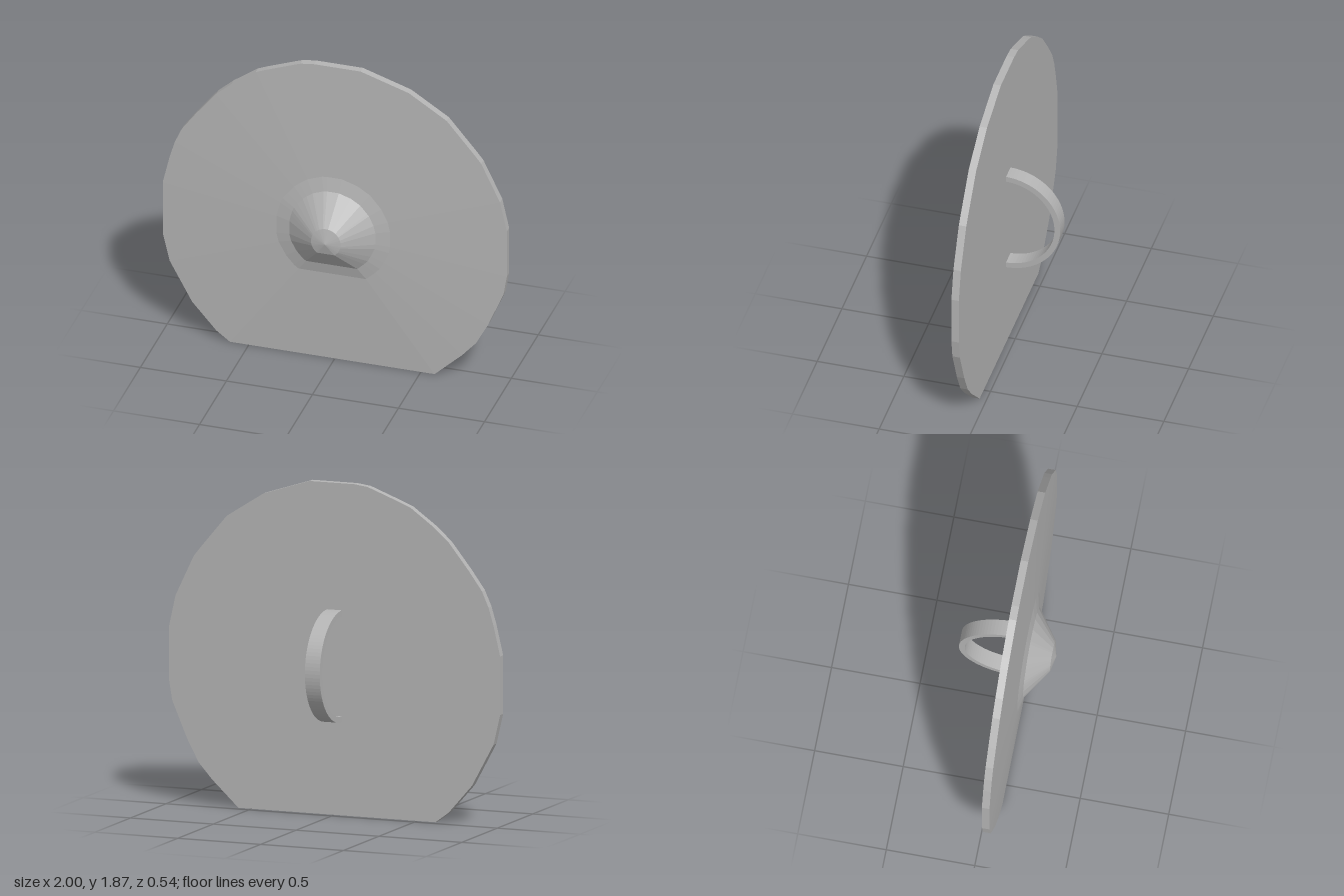
import * as THREE from 'three';

// Rim outline, counter-clockwise seen from the front, flat along the bottom
const outline = [
  [-0.61, 0], [0.58, 0], [0.74, 0.15], [0.82, 0.24], [0.89, 0.37], [0.98, 0.58], [1, 0.70], [1, 0.99],
  [0.96, 1.17], [0.85, 1.40], [0.81, 1.45], [0.65, 1.64], [0.43, 1.78], [0.15, 1.87], [-0.12, 1.87],
  [-0.20, 1.86], [-0.40, 1.785], [-0.46, 1.76], [-0.60, 1.66], [-0.69, 1.58], [-0.81, 1.43],
  [-0.89, 1.32], [-0.93, 1.23], [-0.96, 1.13], [-1, 0.96], [-1, 0.63], [-0.96, 0.46], [-0.83, 0.22],
  [-0.69, 0.06],
];
const CENTRE_Y = 0.835;

// Faceted surface through scaled copies of the outline; each ring is [scale, z]
function loft(rings) {
  const point = (i, [s, z]) => {
    const [x, y] = outline[i % outline.length];
    return [x * s, CENTRE_Y + (y - CENTRE_Y) * s, z];
  };
  const positions = [];
  for (let r = 0; r < rings.length - 1; r++) {
    const [from, to] = [rings[r], rings[r + 1]];
    for (let i = 0; i < outline.length; i++) {
      const a = point(i, from), b = point(i + 1, from), c = point(i + 1, to), d = point(i, to);
      if (from[0] > 0) positions.push(...a, ...b, ...c);
      if (to[0] > 0) positions.push(...a, ...c, ...d);
    }
  }
  const geometry = new THREE.BufferGeometry();
  geometry.setAttribute('position', new THREE.Float32BufferAttribute(positions, 3));
  geometry.computeVertexNormals();
  return geometry;
}

export function createModel() {
  const group = new THREE.Group();
  group.name = 'shield';
  const grey = new THREE.MeshStandardMaterial({ color: 0xb4b4b4, flatShading: true });
  grey.name = 'grey metal';

  const add = (name, geometry) => {
    const mesh = new THREE.Mesh(geometry, grey);
    mesh.name = name;
    group.add(mesh);
  };

  // Flat back, straight rim and gently domed front
  add('plate', loft([[0, 0.04], [1, 0.04], [1, 0.083], [0.33, 0.113], [0.25, 0.13]]));

  // Pointed boss in the middle of the front
  add('boss', loft([[0.25, 0.13], [0.085, 0.25], [0, 0.27]]));

  // Half-ring grip on the back
  const arch = new THREE.Shape();
  arch.absarc(0, 0, 0.315, Math.PI / 2, Math.PI * 1.5, false);
  arch.absarc(0, 0, 0.282, Math.PI * 1.5, Math.PI / 2, true);
  const handle = new THREE.ExtrudeGeometry(arch, { depth: 0.09, bevelEnabled: false, curveSegments: 24 });
  handle.translate(0, 0, -0.045).rotateY(-Math.PI / 2).translate(0, 0.84, 0.043);
  add('handle', handle);

  return group;
}
